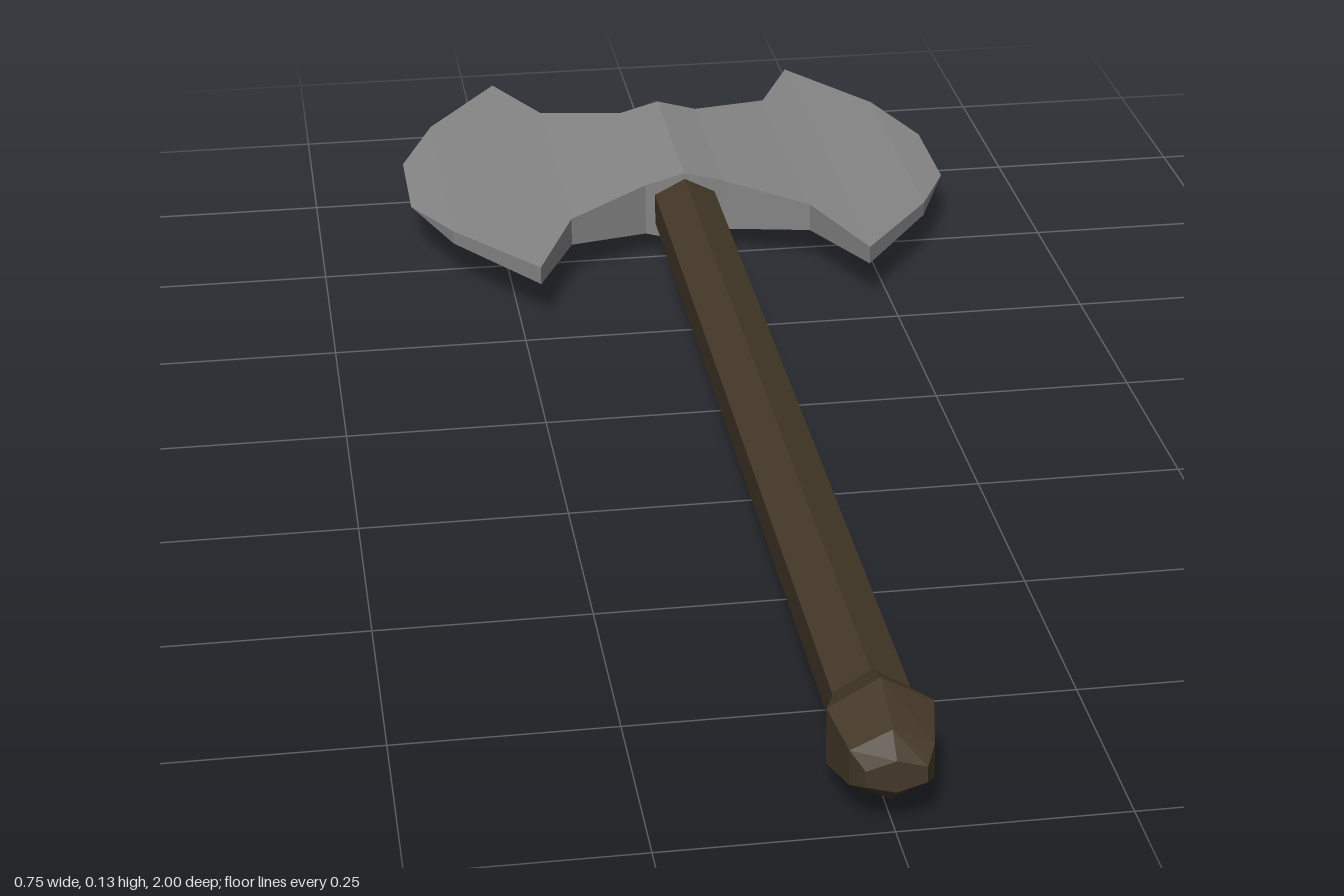
import * as THREE from 'three';

const AXIS_Y = 0.065; // height of the shaft's centre line

const wood = new THREE.MeshStandardMaterial({ color: 0x443828, flatShading: true });
const steel = new THREE.MeshStandardMaterial({ color: 0x868686, flatShading: true });

function add(group, name, geometry, material, z) {
  const mesh = new THREE.Mesh(geometry, material);
  mesh.name = name;
  mesh.position.set(0, AXIS_Y, z);
  group.add(mesh);
}

// Skin rectangular cross-sections [x, half length in z, half thickness in y]
function loftGeometry(stations) {
  const rings = stations.map(([x, h, t]) =>
    [[x, -t, h], [x, -t, -h], [x, t, -h], [x, t, h]]);
  const positions = [];
  for (let s = 0; s < rings.length - 1; s++) {
    for (let k = 0; k < 4; k++) {
      const n = (k + 1) % 4;
      const a = rings[s][k], b = rings[s][n], c = rings[s + 1][n], d = rings[s + 1][k];
      positions.push(...a, ...b, ...c, ...a, ...c, ...d);
    }
  }
  const geometry = new THREE.BufferGeometry();
  geometry.setAttribute('position', new THREE.Float32BufferAttribute(positions, 3));
  geometry.computeVertexNormals();
  return geometry;
}

// Six-sided knob whose end rings flatten in y
function pommelGeometry() {
  const profile = [[0.045, 0.86], [0.065, 0.91], [0.051, 0.975], [0.037, 1], [0, 1]]
    .map(([r, z]) => new THREE.Vector2(r, z));
  const geometry = new THREE.LatheGeometry(profile, 6).rotateX(Math.PI / 2);
  const p = geometry.attributes.position;
  for (let i = 0; i < p.count; i++) {
    const z = p.getZ(i);
    const squash = z > 0.99 ? 0.5 : z > 0.95 ? 0.8 : 1;
    p.setY(i, p.getY(i) * squash);
  }
  return geometry;
}

export function createModel() {
  const axe = new THREE.Group();
  axe.name = 'doubleAxe';

  // Slightly flattened hexagonal shaft, from behind the head to the pommel
  const shaft = new THREE.CylinderGeometry(0.048, 0.048, 1.685, 6)
    .rotateX(Math.PI / 2).scale(1, 0.88, 1);
  add(axe, 'shaft', shaft, wood, 0.0175);

  add(axe, 'pommel', pommelGeometry(), wood, 0);

  // Twin-bladed head: thick at the socket, flaring to horns and a sharp edge
  const half = [
    [0.055, 0.14, 0.036],
    [0.165, 0.203, 0.019],
    [0.222, 0.345, 0.012],
    [0.326, 0.197, 0.009],
    [0.375, 0.08, 0],
  ];
  const mirrored = half.map(([x, h, t]) => [-x, h, t]).reverse();
  const head = loftGeometry([...mirrored, [0, 0.14, 0.051], ...half]);
  add(axe, 'axeHead', head, steel, -0.655);

  return axe;
}
